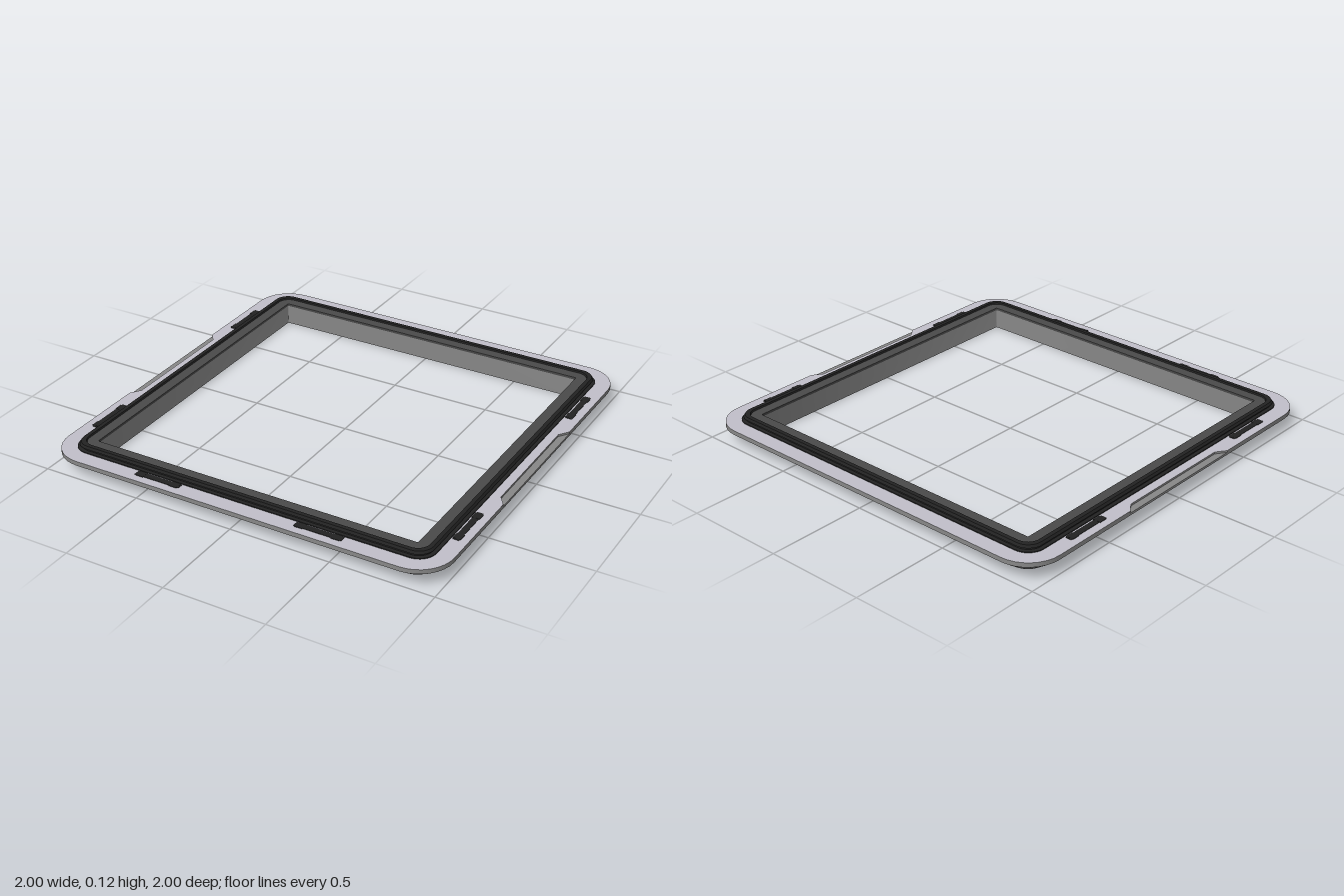
import * as THREE from 'three';
import { toCreasedNormals } from 'three/addons/utils/BufferGeometryUtils.js';

const mat = (color) => new THREE.MeshStandardMaterial({ color });

// Points around a square with half-size h and corner radius r
function roundedSquare(h, r, steps = 8) {
  const points = [];
  for (let c = 0; c < 4; c++) {
    const mid = Math.PI / 4 + c * Math.PI / 2;
    const cx = Math.sign(Math.cos(mid)) * (h - r);
    const cz = Math.sign(Math.sin(mid)) * (h - r);
    for (let s = 0; s <= steps; s++) {
      const a = (c + s / steps) * Math.PI / 2;
      points.push([cx + r * Math.cos(a), cz + r * Math.sin(a)]);
    }
  }
  return points;
}

// Closed ring lofted through a profile of [half-size, y, corner radius],
// listed up the outside, inward, then down the inside
function ring(profile) {
  const loops = profile.map(([h, y, r]) => roundedSquare(h, r).map(([x, z]) => [x, y, z]));
  const n = loops[0].length, m = loops.length;
  const index = [];
  for (let j = 0; j < m; j++) {
    for (let i = 0; i < n; i++) {
      const k = (i + 1) % n, l = (j + 1) % m;
      const a = j * n + i, b = l * n + i, c = j * n + k, d = l * n + k;
      index.push(a, b, c, c, b, d);
    }
  }
  const geo = new THREE.BufferGeometry();
  geo.setAttribute('position', new THREE.Float32BufferAttribute(loops.flat(2), 3));
  geo.setIndex(index);
  return toCreasedNormals(geo, 0.5);
}

// Thin rim plate with a shallow grip notch in the left and right edges
function rimGeometry() {
  const outline = roundedSquare(1, 0.17);
  const notch = [[1, -0.36], [0.965, -0.31], [0.965, 0.31], [1, 0.36]];
  const half = outline.length / 2;
  const path = [
    ...notch,
    ...outline.slice(0, half),
    ...notch.map(([x, z]) => [-x, -z]),
    ...outline.slice(half),
  ];
  const toVec = ([x, z]) => new THREE.Vector2(x, z);
  const shape = new THREE.Shape(path.map(toVec));
  shape.holes.push(new THREE.Path(roundedSquare(0.9, 0.07).map(toVec)));
  const geo = new THREE.ExtrudeGeometry(shape, { depth: 0.01, bevelEnabled: false });
  geo.rotateX(-Math.PI / 2);
  geo.translate(0, 0.082, 0);
  return toCreasedNormals(geo, 0.5);
}

export function createModel() {
  const model = new THREE.Group();
  const bodyMat = mat(0x888888), rimMat = mat(0xc2c0ca);
  const ledgeMat = mat(0x4a4a4a), darkMat = mat(0x222222);
  const add = (name, geo, material, parent = model) => {
    const mesh = new THREE.Mesh(geo, material);
    mesh.name = name;
    parent.add(mesh);
    return mesh;
  };

  // Frame: flared outside, upright edge, step under the rim, upright inner wall
  add('frameBody', ring([
    [0.905, 0, 0.08], [1, 0.07, 0.17], [1, 0.082, 0.17], [0.895, 0.082, 0.07],
    [0.895, 0.1, 0.07], [0.83, 0.1, 0.006], [0.83, 0, 0.006],
  ]), bodyMat);

  // Dark flat ledge around the opening, level with the seal
  add('innerLedge', ring([
    [0.888, 0.1, 0.06], [0.888, 0.112, 0.06], [0.83, 0.112, 0.006], [0.83, 0.1, 0.006],
  ]), ledgeMat);

  // Pale top with the edges in the body colour
  add('rim', rimGeometry(), [rimMat, bodyMat]);

  // Seal: a low skirt, a groove and an overhanging bead
  add('seal', ring([
    [0.922, 0.088, 0.085], [0.922, 0.096, 0.085], [0.903, 0.096, 0.07],
    [0.903, 0.104, 0.07], [0.912, 0.108, 0.075], [0.905, 0.12, 0.07],
    [0.885, 0.12, 0.06], [0.88, 0.106, 0.055], [0.888, 0.088, 0.06],
  ]), darkMat);

  // Flush clips on the front, left and right rims
  const clips = new THREE.Group();
  clips.name = 'clips';
  model.add(clips);
  const addClip = (x, z, turn) => {
    const clip = new THREE.Group();
    clip.name = 'clip';
    add('clipBar', new THREE.BoxGeometry(0.236, 0.01, 0.03), darkMat, clip);
    for (const s of [-1, 1]) {
      add('clipEnd', new THREE.BoxGeometry(0.04, 0.011, 0.038), darkMat, clip).position.x = s * 0.09;
    }
    clip.position.set(x, 0.089, z);
    clip.rotation.y = turn;
    clips.add(clip);
  };
  for (const s of [-1, 1]) {
    addClip(s * 0.415, 0.942, 0);
    for (const z of [-0.59, 0.59]) addClip(s * 0.945, z, Math.PI / 2);
  }
  return model;
}
